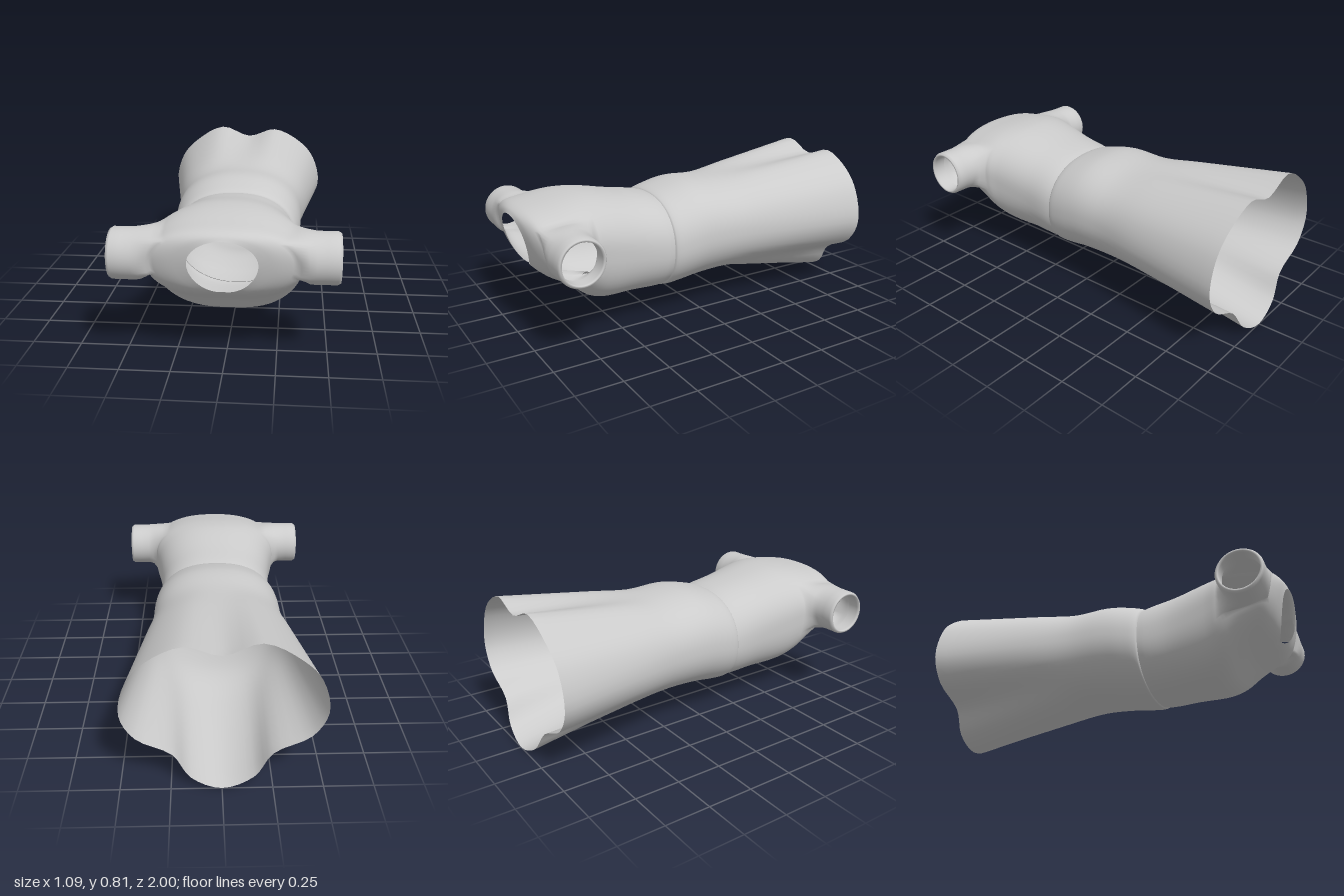
import * as THREE from 'three';

const N = 64;      // columns around the body
const STEPS = 4;   // rows between two cross-sections
const lerp = THREE.MathUtils.lerp;
const material = new THREE.MeshStandardMaterial({ color: 0xcccccc, side: THREE.DoubleSide });

// Rounded cross-section with its own roundness above and below the widest height;
// its top and bottom may lie at different z
function section([zTop, zBottom, halfWidth, top, bottom, powerTop, powerBottom, middle = (top + bottom) / 2]) {
  const curve = (v, power) => Math.sign(v) * Math.abs(v) ** (2 / power);
  return Array.from({ length: N }, (_, j) => {
    const a = -Math.PI / 2 + (2 * Math.PI * j) / N;
    const upper = Math.sin(a) > 0;
    const power = upper ? powerTop : powerBottom;
    const y = middle + curve(Math.sin(a), power) * (upper ? top - middle : middle - bottom);
    const height = Math.max(0, (y - bottom) / (top - bottom));
    return new THREE.Vector3(
      halfWidth * curve(Math.cos(a), power), y, lerp(zBottom, zTop, Math.sqrt(height)));
  });
}

// Wavy hem outline, from the bottom lobe up one side and back down the other
function hemSection() {
  const half = [[0, 0, -1], [0.155, 0.06, -0.99], [0.245, 0.185, -0.97], [0.425, 0.285, -0.97],
    [0.495, 0.42, -0.97], [0.455, 0.6, -0.97], [0.36, 0.71, -0.975], [0.18, 0.8, -0.98], [0, 0.752, -0.98]];
  const left = half.map(([x, y, z]) => [x * 0.98, y > 0.75 ? y - 0.006 : y, z]);
  const right = half.slice(1, -1).reverse().map(([x, y, z]) => [-x * 1.02, y > 0.75 ? y + 0.007 : y, z]);
  const curve = new THREE.CatmullRomCurve3(
    [...left, ...right].map((p) => new THREE.Vector3(...p)), true);
  return Array.from({ length: N }, (_, j) => curve.getPoint(j / N));
}

// Grid of smooth rows through the cross-sections
function loft(sections) {
  const rows = (sections.length - 1) * STEPS;
  const columns = Array.from({ length: N }, (_, j) =>
    new THREE.CatmullRomCurve3(sections.map((s) => s[j])));
  const points = [];
  for (let i = 0; i <= rows; i++) columns.forEach((c) => points.push(c.getPoint(i / rows)));
  return { points, rows };
}

// Triangles of the grid, leaving out cells for which skip(i, j) is true
function gridIndex(rows, skip = () => false) {
  const index = [];
  for (let i = 0; i < rows; i++) {
    for (let j = 0; j < N; j++) {
      if (skip(i, j)) continue;
      const a = i * N + j, b = i * N + ((j + 1) % N);
      index.push(a, b, b + N, a, b + N, a + N);
    }
  }
  return index;
}

function makeMesh(name, points, index) {
  const geometry = new THREE.BufferGeometry().setFromPoints(points);
  geometry.setIndex(index);
  geometry.computeVertexNormals();
  const mesh = new THREE.Mesh(geometry, material);
  mesh.name = name;
  return mesh;
}

function makeSkirt() {
  const hem = hemSection();
  const hip = section([-0.2, -0.2, 0.365, 0.71, 0.163, 2.3, 2.1]);
  const between = (t) => hem.map((p, j) => p.clone().lerp(hip[j], t));
  const { points, rows } = loft([
    hem, between(0.35), between(0.7), hip,
    section([0, 0, 0.36, 0.717, 0.152, 2.3, 2.1]),
    section([0.12, 0.12, 0.353, 0.695, 0.135, 2.3, 2.1]),
    section([0.2, 0.2, 0.338, 0.67, 0.13, 2.3, 2.1]),
    section([0.21, 0.21, 0.324, 0.658, 0.14, 2.3, 2.1]),
  ]);
  return makeMesh('skirt', points, gridIndex(rows));
}

function makeBodice() {
  const { points, rows } = loft([
    [0.2, 0.2, 0.325, 0.662, 0.137, 2.3, 2.1],
    [0.25, 0.25, 0.33, 0.675, 0.135, 2.3, 2.2],
    [0.4, 0.4, 0.33, 0.70, 0.145, 2.3, 2.4, 0.44],
    [0.6, 0.58, 0.358, 0.737, 0.157, 2.3, 2.6, 0.49],
    [0.70, 0.65, 0.382, 0.738, 0.185, 2.3, 2.5, 0.52],
    [0.78, 0.71, 0.385, 0.73, 0.235, 2.3, 2.4, 0.53],
    [0.86, 0.77, 0.38, 0.717, 0.285, 2.3, 2.4, 0.53],
    [0.95, 0.85, 0.36, 0.70, 0.335, 2.3, 2.3, 0.53],
    [0.985, 0.89, 0.28, 0.682, 0.362, 2.2, 2.1, 0.53],
    [1, 0.91, 0.165, 0.66, 0.38, 2, 1.85, 0.54],
  ].map(section));

  // Armholes: a patch of cells left out on each side
  const r0 = 15, r1 = 29, low = 13, high = 23;
  const inPatch = (i, j) => i >= r0 && i < r1 && j >= low && j < high;
  const index = gridIndex(rows, (i, j) => inPatch(i, j) || inPatch(i, N - 1 - j));

  const loop = [];
  for (let i = r0; i < r1; i++) loop.push([i, low]);
  for (let j = low; j < high; j++) loop.push([r1, j]);
  for (let i = r1; i > r0; i--) loop.push([i, high]);
  for (let j = high; j > low; j--) loop.push([r0, j]);

  // Sleeves: rings [x, radius, blend from armhole to circle], ending inside the cuff
  const rings = [[0.38, 0.138, 0.45], [0.408, 0.131, 0.85], [0.43, 0.127, 1], [0.48, 0.126, 1],
    [0.53, 0.126, 1], [0.544, 0.118, 1], [0.544, 0.108, 1], [0.53, 0.106, 1], [0.47, 0.106, 1]];
  const centre = { y: 0.537, z: 0.838 };
  for (const side of [1, -1]) {
    let previous = loop.map(([i, j]) => i * N + (side > 0 ? j : N - j));
    const edge = previous.map((k) => points[k]);
    for (const [x, radius, t] of rings) {
      const ring = edge.map((p, m) => {
        const a = Math.PI * (-0.79 + (2 * m) / edge.length);
        const target = new THREE.Vector3(side * x,
          centre.y + radius * Math.sin(a), centre.z + radius * Math.cos(a));
        return points.push(p.clone().lerp(target, t)) - 1;
      });
      ring.forEach((d, m) => {
        const n = (m + 1) % ring.length;
        const a = previous[m], b = previous[n], c = ring[n];
        if (side > 0) index.push(a, d, c, a, c, b);
        else index.push(a, c, d, a, b, c);
      });
      previous = ring;
    }
  }
  return makeMesh('bodiceWithSleeves', points, index);
}

export function createModel() {
  const group = new THREE.Group();
  group.name = 'dress';
  group.add(makeSkirt(), makeBodice());
  return group;
}
